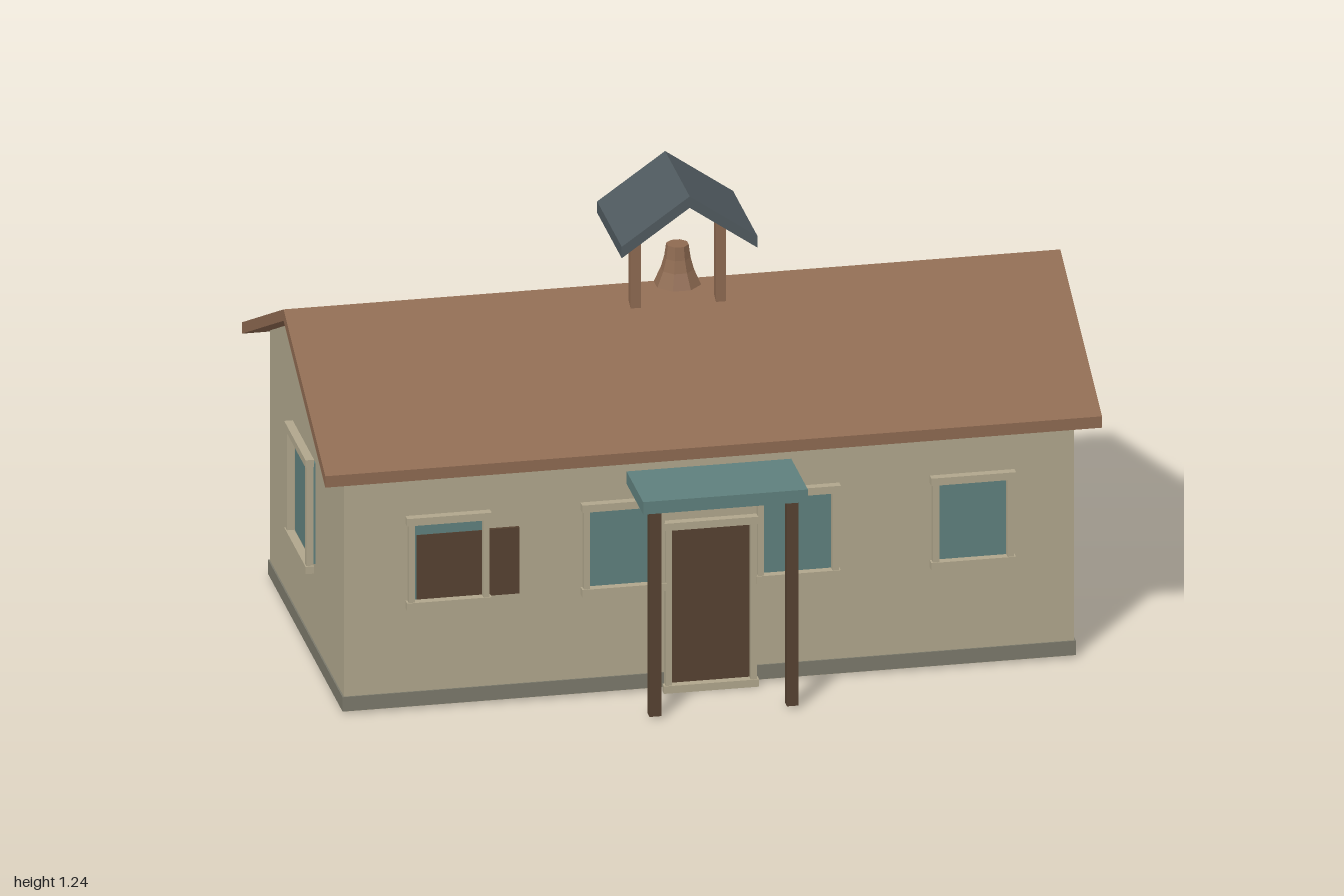
import * as THREE from 'three';

const flat = (name, color) => {
  const m = new THREE.MeshStandardMaterial({ color });
  m.name = name;
  return m;
};

export function createModel() {
  const wall = flat('sandWall', 0xb0a68c);
  const brown = flat('roofBrown', 0x8e6a51);
  const darkWood = flat('darkWood', 0x564231);
  const teal = flat('teal', 0x5f807d);
  const stone = flat('stone', 0x7b796b);
  const slate = flat('slate', 0x505a5f);

  const model = new THREE.Group();
  model.name = 'schoolhouse';

  const add = (parent, name, geometry, material) => {
    const mesh = new THREE.Mesh(geometry, material);
    mesh.name = name;
    parent.add(mesh);
    return mesh;
  };
  // Box given by its extents on each axis
  const box = (parent, name, material, [x0, x1], [y0, y1], [z0, z1]) => {
    const mesh = add(parent, name, new THREE.BoxGeometry(x1 - x0, y1 - y0, z1 - z0), material);
    mesh.position.set((x0 + x1) / 2, (y0 + y1) / 2, (z0 + z1) / 2);
    return mesh;
  };
  // Profile extruded symmetrically along z
  const prism = (points, length) => {
    const shape = new THREE.Shape(points.map(([x, y]) => new THREE.Vector2(x, y)));
    return new THREE.ExtrudeGeometry(shape, { depth: length, bevelEnabled: false })
      .translate(0, 0, -length / 2);
  };
  // Gable roof cross-section with plumb-cut eaves
  const gable = (half, eave, ridge, thick) => [
    [-half, eave - thick], [0, ridge - thick], [half, eave - thick],
    [half, eave], [0, ridge], [-half, eave],
  ];

  // Main building, ridge running along x
  const midZ = -0.075;
  const house = new THREE.Group();
  house.name = 'house';
  house.rotation.y = Math.PI / 2;
  house.position.z = midZ;
  model.add(house);
  add(house, 'walls', prism(
    [[-0.465, 0.005], [0.465, 0.005], [0.465, 0.673], [0, 0.889], [-0.465, 0.673]], 1.88), wall);
  add(house, 'mainRoof', prism(gable(0.525, 0.675, 0.92, 0.031), 2), brown);
  box(model, 'foundation', stone, [-0.944, 0.944], [0.007, 0.046], [-0.544, 0.394]);

  // Framed opening facing local +z, origin at the wall surface
  const framed = (name, w, h, fill, position, turn = 0) => {
    const g = new THREE.Group();
    g.name = name;
    g.position.set(...position);
    g.rotation.y = turn;
    model.add(g);
    const x = w / 2, y = h / 2, depth = [0.009, 0.031];
    box(g, 'panel', fill, [-x + 0.02, x - 0.02], [-y + 0.018, y - 0.018], [0.001, 0.007]);
    box(g, 'lintel', wall, [-x, x], [y - 0.02, y], depth);
    box(g, 'sill', wall, [-x, x], [-y, -y + 0.02], depth);
    for (const s of [-1, 1]) {
      const edges = [s * (x - 0.005), s * (x - 0.021)].sort((a, b) => a - b);
      box(g, 'jamb', wall, edges, [-y + 0.02, y - 0.02], [0.009, 0.028]);
    }
    return g;
  };

  for (const x of [-0.675, -0.224, 0.224, 0.675])
    framed('frontWindow', 0.218, 0.25, teal, [x, 0.405, 0.393]);
  for (const x of [-0.66, -0.333, 0.333, 0.66])
    framed('backWindow', 0.27, 0.31, teal, [x, 0.405, -0.54], Math.PI);
  framed('leftWindow', 0.258, 0.25, teal, [0.94, 0.405, midZ], Math.PI / 2);
  framed('rightWindow', 0.27, 0.31, teal, [-0.94, 0.405, midZ], -Math.PI / 2);
  framed('frontDoor', 0.245, 0.463, darkWood, [0, 0.2315, 0.393]);

  // Sliding board behind the window frame
  box(model, 'slidingShutter', darkWood, [-0.755, -0.49], [0.295, 0.475], [0.3925, 0.4015]);

  // Porch
  box(model, 'porchRoof', teal, [-0.212, 0.212], [0.566, 0.6], [0.39, 0.6]);
  for (const x of [-0.177, 0.177])
    box(model, 'porchPost', darkWood, [x - 0.015, x + 0.015], [0.006, 0.566], [0.553, 0.582]);

  // Belfry
  const belfry = new THREE.Group();
  belfry.name = 'belfry';
  belfry.position.z = -0.007;
  model.add(belfry);
  for (const x of [-0.11, 0.11])
    box(belfry, 'belfryPost', brown, [x - 0.013, x + 0.013], [0.883, 1.115], [-0.013, 0.013]);
  add(belfry, 'belfryRoof', prism(gable(0.175, 1.112, 1.235, 0.031), 0.31), slate);

  // Eight-sided bell
  const profile = [[0, 0.938], [0.061, 0.938], [0.043, 0.978], [0.034, 1.01], [0.029, 1.045], [0, 1.045]];
  const bellGeometry = new THREE.LatheGeometry(
    profile.map(([r, y]) => new THREE.Vector2(r, y)), 8, Math.PI / 8).toNonIndexed();
  bellGeometry.computeVertexNormals();
  add(belfry, 'bell', bellGeometry, brown);

  return model;
}
